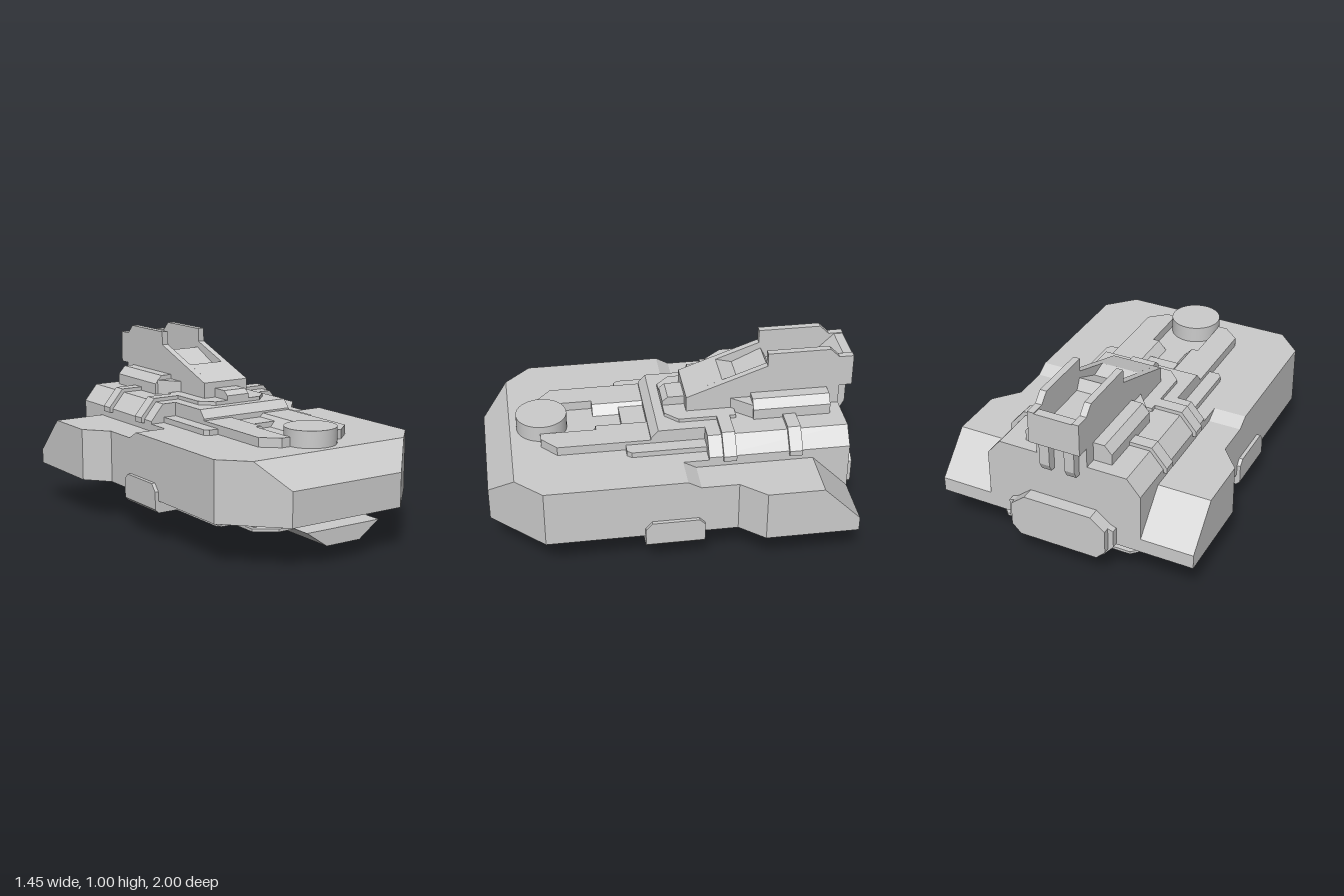
import * as THREE from 'three';
import { toCreasedNormals } from 'three/addons/utils/BufferGeometryUtils.js';

const flat = new THREE.MeshStandardMaterial({ color: 0xcccccc, flatShading: true });
const smooth = new THREE.MeshStandardMaterial({ color: 0xcccccc });

export function createModel() {
  const model = new THREE.Group();
  const add = (name, geo, mat = flat) => {
    const m = new THREE.Mesh(geo, mat);
    m.name = name;
    model.add(m);
    return m;
  };
  const shapeOf = (pts) => new THREE.Shape(pts.map(([a, b]) => new THREE.Vector2(a, b)));
  const extrude = (shape, depth) => new THREE.ExtrudeGeometry(shape, { depth, bevelEnabled: false, curveSegments: 10 });
  // Closes a half outline by mirroring it across x = 0
  const mirrored = (pts) => [...pts, ...pts.slice().reverse().map(([x, v]) => [-x, v])];
  // Outline in x,z raised from y0 to y1
  const plan = (pts, y0, y1) =>
    extrude(shapeOf(pts.map(([x, z]) => [x, -z])), y1 - y0).rotateX(-Math.PI / 2).translate(0, y0, 0);
  // Outline in z,y swept from x0 to x1
  const sideSweep = (shape, x0, x1) => extrude(shape, x1 - x0).rotateY(-Math.PI / 2).translate(x1, 0, 0);
  const side = (pts, x0, x1) => sideSweep(shapeOf(pts), x0, x1);
  // Outline in x,y swept from z0 to z1
  const front = (pts, z0, z1) => extrude(shapeOf(pts), z1 - z0).translate(0, 0, z0);
  const box = (x0, x1, y0, y1, z0, z1) =>
    new THREE.BoxGeometry(x1 - x0, y1 - y0, z1 - z0).translate((x0 + x1) / 2, (y0 + y1) / 2, (z0 + z1) / 2);

  // Joins rectangular sections [z, x0, x1, top], listed from front to back
  const loft = (sections, base) => {
    const pos = [];
    const idx = [];
    sections.forEach(([z, x0, x1, top]) => pos.push(x0, base, z, x1, base, z, x1, top, z, x0, top, z));
    const last = (sections.length - 1) * 4;
    for (let i = 0; i < last; i += 4) {
      for (let k = 0; k < 4; k++) {
        const a = i + k, b = i + ((k + 1) % 4), c = b + 4, d = a + 4;
        idx.push(a, d, c, a, c, b);
      }
    }
    idx.push(0, 1, 2, 0, 2, 3, last, last + 2, last + 1, last, last + 3, last + 2);
    const g = new THREE.BufferGeometry();
    g.setAttribute('position', new THREE.Float32BufferAttribute(pos, 3));
    g.setIndex(idx);
    const out = g.toNonIndexed();
    out.computeVertexNormals();
    return out;
  };

  // Hull with sloped bow, narrower raised stern and flared rear wings
  const hull = [[1, 0.345, 0.415], [0.86, 0.48, 0.555], [0.72, 0.615, 0.555], [-0.03, 0.615, 0.555]];
  add('hull', loft(hull.map(([z, w, t]) => [z, -w, w, t]), 0.23));
  add('sternCore', box(-0.435, 0.435, 0.23, 0.555, -0.93, -0.03));
  const wing = [[-0.03, 0.615, 0.555], [-0.1, 0.615, 0.515], [-0.3, 0.615, 0.515],
    [-0.43, 0.725, 0.515], [-0.73, 0.725, 0.515], [-0.93, 0.725, 0.31]];
  add('leftWing', loft(wing.map(([z, w, t]) => [z, 0.43, w, t]), 0.23));
  add('rightWing', loft(wing.map(([z, w, t]) => [z, -w, -0.43, t]), 0.23));

  // Low plates on the fore deck
  add('midPlate', plan(mirrored([[0.355, -0.2], [0.355, 0.23], [0.335, 0.255], [0.27, 0.255]]), 0.555, 0.585));
  for (const s of [1, -1]) {
    add('foreDeckArm', plan([[0.14, 0.08], [0.28, 0.08], [0.28, 0.62], [0.19, 0.7], [0.14, 0.7]].map(([x, z]) => [s * x, z]), 0.555, 0.605));
    add('channelSlope', front([[0.055, 0.55], [0.15, 0.55], [0.15, 0.605], [0.105, 0.605]].map(([x, y]) => [s * x, y]), 0.1, 0.4));
  }
  add('knob', toCreasedNormals(new THREE.CylinderGeometry(0.138, 0.138, 0.09, 48).translate(0, 0.6, 0.685), 0.6), smooth);

  // Upper deck with bevelled sides, and its straps
  add('upperDeck', front(mirrored([[0.435, 0.55], [0.435, 0.57], [0.36, 0.66]]), -0.93, -0.17));
  add('deckNose', side([[-0.2, 0.55], [0.12, 0.55], [0.12, 0.615], [0.08, 0.66], [-0.2, 0.66]], -0.28, 0.28));
  for (const z of [-0.67, -0.315]) {
    add('strap', front(mirrored([[0.455, 0.55], [0.455, 0.58], [0.37, 0.68]]), z, z + 0.07));
  }
  add('cabinPlate', plan(mirrored([[0.215, -0.35], [0.215, -0.04], [0.145, 0.03]]), 0.65, 0.68));
  add('nosePiece', side([[-0.12, 0.67], [0.03, 0.67], [0.03, 0.705], [0, 0.73], [-0.12, 0.73]], -0.07, 0.07));

  // Shoulder block around the cabin: bevelled body with a tapered front
  add('shoulder', front(mirrored([[0.245, 0.65], [0.245, 0.72], [0.205, 0.765]]), -0.86, -0.44));
  add('shoulderFront', plan(mirrored([[0.23, -0.44], [0.14, -0.33]]), 0.65, 0.74));

  // Cabin: two side walls and a stepped middle between them
  const wall = [[-0.09, 0.67], [-0.09, 0.765], [-0.53, 0.925], [-0.53, 1], [-0.87, 1],
    [-0.92, 0.95], [-1, 0.95], [-1, 0.77], [-0.93, 0.77], [-0.93, 0.65]];
  add('leftCabinWall', side(wall, 0.105, 0.142));
  add('rightCabinWall', side(wall, -0.142, -0.105));
  add('cabinMiddle', side([[-0.09, 0.67], [-0.09, 0.765], [-0.29, 0.838], [-0.38, 0.815], [-0.54, 0.89],
    [-0.57, 0.83], [-0.83, 0.83], [-0.95, 0.945], [-1, 0.945], [-1, 0.77], [-0.93, 0.77], [-0.93, 0.65]], -0.105, 0.105));
  for (const x of [-0.07, 0.07]) {
    add('rearProng', side([[-0.91, 0.78], [-0.91, 0.6], [-0.96, 0.6], [-0.98, 0.64], [-0.98, 0.78]], x - 0.028, x + 0.028));
  }

  // Stern panel
  add('sternPanel', front(mirrored([[0.22, 0.165], [0.27, 0.215], [0.27, 0.345], [0.19, 0.41]]), -1, -0.92));
  add('sternPanelBase', front(mirrored([[0.24, 0.165], [0.3, 0.235], [0.3, 0.335], [0.27, 0.345]]), -0.965, -0.92));

  // Keel and underside plates
  add('keel', front(mirrored([[0.105, 0.092], [0.21, 0.165], [0.23, 0.178]]), -0.89, 0.965));
  add('keelCore', box(-0.24, 0.24, 0.17, 0.235, -0.9, 0.83));
  for (const s of [1, -1]) {
    for (const [z0, z1] of [[0.56, 0.83], [-0.9, -0.58]]) {
      const g = plan([[0.2, z0], [0.36, z0], [0.41, z0 + 0.05], [0.41, z1 - 0.08], [0.3, z1], [0.2, z1]].map(([x, z]) => [s * x, z]), 0.165, 0.18);
      add('underPlate', g);
      add('underPlateMount', box(s > 0 ? 0.2 : -0.39, s > 0 ? 0.39 : -0.2, 0.17, 0.235, z0 + 0.07, z1 - 0.09));
      add('underStrip', box(s > 0 ? 0.38 : -0.58, s > 0 ? 0.58 : -0.38, 0.213, 0.235, z0 + 0.07, z1 - 0.1));
    }
    // Side guards wrapping under the hull edge
    add('guardFoot', front([[0.38, 0.165], [0.615, 0.165], [0.635, 0.185], [0.635, 0.235], [0.38, 0.235]].map(([x, y]) => [s * x, y]), -0.12, 0.195));
    add('guardPanel', side([[-0.12, 0.2], [0.195, 0.2], [0.195, 0.28], [0.16, 0.32], [-0.09, 0.32], [-0.12, 0.29]],
      s > 0 ? 0.6 : -0.635, s > 0 ? 0.635 : -0.6));
  }

  // Skids: rounded loops with a flat bottom
  const loopPath = (path, i) => {
    path.moveTo(-0.32 + i / 2, i);
    path.lineTo(0.09 - i / 2, i);
    path.bezierCurveTo(0.17 - i, i, 0.15 - i, 0.06, 0.09 - i / 2, 0.1 - i / 2);
    path.quadraticCurveTo(0.05, 0.125 - i, 0, 0.125 - i);
    path.lineTo(-0.23, 0.125 - i);
    path.quadraticCurveTo(-0.28, 0.125 - i, -0.32 + i / 2, 0.1 - i / 2);
    path.bezierCurveTo(-0.38 + i, 0.06, -0.4 + i, i, -0.32 + i / 2, i);
    return path;
  };
  const skid = loopPath(new THREE.Shape(), 0);
  skid.holes.push(loopPath(new THREE.Path(), 0.024));
  add('leftSkid', toCreasedNormals(sideSweep(skid, 0.052, 0.192), 0.6), smooth);
  add('rightSkid', toCreasedNormals(sideSweep(skid, -0.192, -0.052), 0.6), smooth);
  add('skidBridge', box(-0.055, 0.055, 0.055, 0.07, -0.28, 0.05));
  add('skidBridgeStem', box(-0.05, 0.05, 0.065, 0.1, -0.26, 0.03));

  // Mirrored outlines can run either way round; extrusion normalises their winding
  return model;
}
